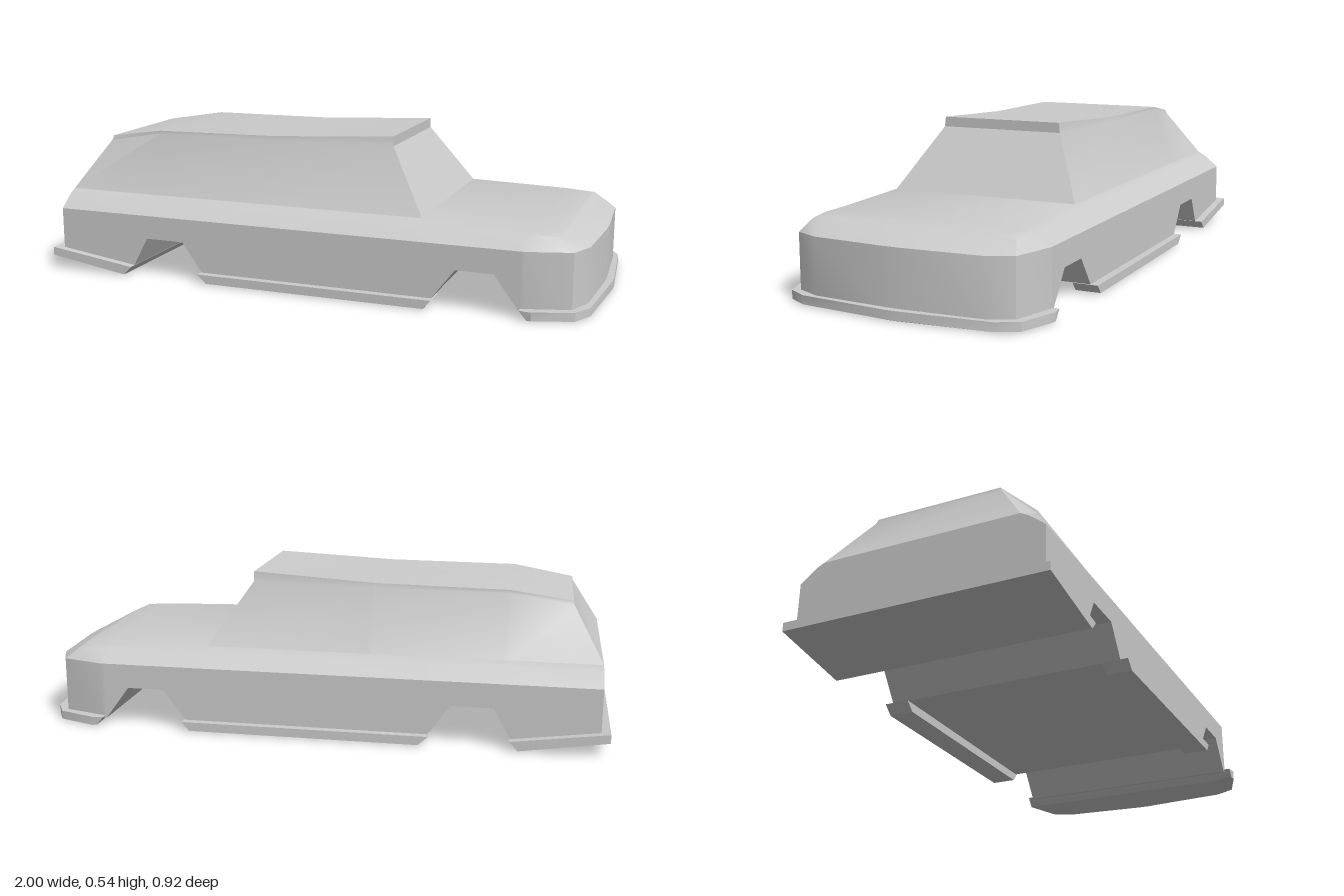
import * as THREE from 'three';
import { toCreasedNormals } from 'three/addons/utils/BufferGeometryUtils.js';

const material = new THREE.MeshStandardMaterial({ color: 0xcccccc });

function part(name, geometry) {
  const mesh = new THREE.Mesh(toCreasedNormals(geometry, 0.55), material);
  mesh.name = name;
  return mesh;
}

// Joins closed rings in order. Each ring is given as its +z half of [x, y, z]
// points and is mirrored across z = 0. Rings run bottom to top with points
// listed rear to nose, or nose to rear with points listed bottom to top.
function loft(name, halves, firstCap = true) {
  const rings = halves.map((half) => [
    ...half,
    ...half.map(([x, y, z]) => [x, y, -z]).reverse(),
  ]);
  const positions = [];
  const quad = (a, b, c, d) => positions.push(...a, ...b, ...c, ...a, ...c, ...d);
  const n = rings[0].length;
  for (let r = 0; r < rings.length - 1; r++) {
    const low = rings[r], high = rings[r + 1];
    for (let i = 0; i < n; i++) {
      const j = (i + 1) % n;
      quad(low[i], low[j], high[j], high[i]);
    }
  }
  // Caps are strips across the width
  const first = rings[0], last = rings[rings.length - 1];
  for (let i = 0; i < n / 2 - 1; i++) {
    const a = n - 1 - i, b = n - 2 - i;
    quad(last[i], last[i + 1], last[b], last[a]);
    if (firstCap) quad(first[a], first[b], first[i + 1], first[i]);
  }
  const geometry = new THREE.BufferGeometry();
  geometry.setAttribute('position', new THREE.Float32BufferAttribute(positions, 3));
  return part(name, geometry);
}

export function createModel() {
  const car = new THREE.Group();
  car.name = 'car';

  // Body sections: floor edge, wall top, shoulder and deck edge
  const noseSection = (x, z, shoulder, deck) =>
    [[x, 0.025, z], [x, 0.225, z], shoulder, deck];
  const section = ([x, floor]) => {
    const drop = 0.025 * Math.max(0, x - 0.4);
    return [
      [x, floor, 0.432], [x, 0.225, 0.432],
      [x, 0.271 - drop / 3, 0.375], [x, 0.285 - drop, 0.348],
    ];
  };
  // Floor line from nose to tail, rising over the two wheel arches
  const floorLine = [
    [0.755, 0.025], [0.67, 0.14], [0.54, 0.14], [0.46, 0.035], [0.4, 0.035],
    [-0.395, 0.035], [-0.47, 0.14], [-0.615, 0.14], [-0.675, 0.03], [-0.97, 0.06],
  ];
  car.add(loft('body', [
    noseSection(0.974, 0.03, [0.882, 0.268, 0.03], [0.87, 0.272, 0.03]),
    noseSection(0.958, 0.3, [0.878, 0.267, 0.29], [0.867, 0.272, 0.27]),
    noseSection(0.92, 0.388, [0.87, 0.265, 0.365], [0.862, 0.272, 0.33]),
    noseSection(0.77, 0.432, [0.79, 0.268, 0.375], [0.79, 0.275, 0.345]),
    ...floorLine.map(section),
  ]));

  // Sill strips along both sides, below the floor
  const sillShape = new THREE.Shape(
    [[-0.365, 0.004], [0.44, 0.004], [0.466, 0.035], [-0.4, 0.035]]
      .map(([x, y]) => new THREE.Vector2(x, y)));
  for (const [name, z] of [['leftSill', -0.46], ['rightSill', 0.37]]) {
    const sill = part(name,
      new THREE.ExtrudeGeometry(sillShape, { depth: 0.09, bevelEnabled: false }));
    sill.position.z = z;
    car.add(sill);
  }

  // Bumpers
  car.add(loft('rearBumper', [
    [[-1, 0.05, 0.46], [-0.7, 0.004, 0.46]],
    [[-1, 0.08, 0.46], [-0.67, 0.035, 0.46]],
  ]));
  const bumper = (start, y) => [
    [start, y, 0.455], [0.8, y, 0.46], [0.935, y, 0.412], [0.973, y, 0.34], [1, y, 0.02],
  ];
  car.add(loft('frontBumper', [
    [[0.79, 0, 0.34], [0.8, 0, 0.34], [0.93, 0, 0.33], [0.965, 0, 0.28], [0.99, 0, 0.02]],
    bumper(0.785, 0.004),
    bumper(0.76, 0.034),
  ]));

  // Cabin, with a roof edge that thickens towards the windscreen
  car.add(loft('cabin', [
    [[-0.97, 0.285, 0.348], [-0.65, 0.285, 0.348], [-0.18, 0.285, 0.348], [0.4, 0.285, 0.348]],
    [[-0.868, 0.459, 0.232], [-0.65, 0.496, 0.252], [-0.18, 0.496, 0.244], [0.257, 0.501, 0.228]],
    [[-0.865, 0.474, 0.225], [-0.65, 0.508, 0.252], [-0.18, 0.513, 0.24], [0.257, 0.536, 0.224]],
  ], false));

  return car;
}
